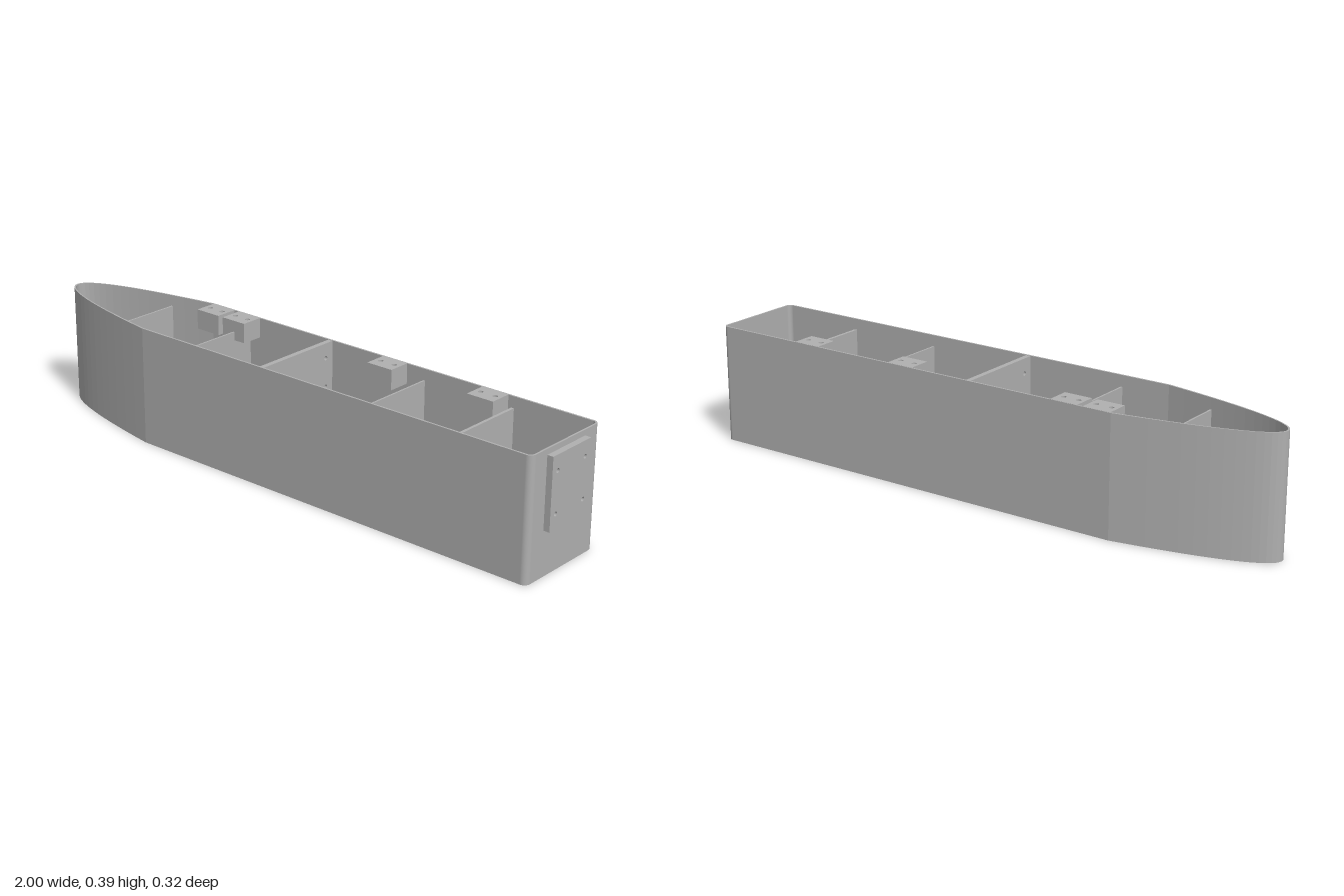
import * as THREE from 'three';

const HEIGHT = 0.39, HALF = 0.162, WALL = 0.006, STERN = 0.98, SHOULDER = -0.52;

// Plan outline of the hull: parabolic bow, straight sides, rounded stern corners
function trace(path, t) {
  const w = HALF - t, bow = -1 + t, end = STERN - t, r = 0.02 - t;
  path.moveTo(bow, 0);
  path.quadraticCurveTo(bow, -w / 2, SHOULDER, -w);
  path.lineTo(end - r, -w);
  path.absarc(end - r, -w + r, r, -Math.PI / 2, 0, false);
  path.lineTo(end, w - r);
  path.absarc(end - r, w - r, r, 0, Math.PI / 2, false);
  path.lineTo(SHOULDER, w);
  path.quadraticCurveTo(bow, w / 2, bow, 0);
  return path;
}

// Rectangle with round holes drilled through it
function drilled(x0, x1, y0, y1, holes, r) {
  const s = new THREE.Shape();
  s.moveTo(x0, y0);
  s.lineTo(x1, y0);
  s.lineTo(x1, y1);
  s.lineTo(x0, y1);
  s.closePath();
  for (const [x, y] of holes) s.holes.push(new THREE.Path().absarc(x, y, r, 0, Math.PI * 2, true));
  return s;
}

const extrude = (shape, depth) =>
  new THREE.ExtrudeGeometry(shape, { depth, bevelEnabled: false, curveSegments: 16 });
// Lay a plan shape flat and raise it from y, or stand a shape across the hull at x
const raise = (shape, y, depth) => extrude(shape, depth).rotateX(-Math.PI / 2).translate(0, y, 0);
const across = (shape, x, depth) => extrude(shape, depth).rotateY(Math.PI / 2).translate(x, 0, 0);

export function createModel() {
  const model = new THREE.Group();
  model.name = 'openHull';
  const grey = new THREE.MeshStandardMaterial({ color: 0xb0b0b0 });
  grey.name = 'plain grey';
  const add = (name, geometry) => {
    const mesh = new THREE.Mesh(geometry, grey);
    mesh.name = name;
    model.add(mesh);
  };

  // Thin side walls and floor
  const walls = trace(new THREE.Shape(), 0);
  walls.holes.push(trace(new THREE.Path(), WALL));
  add('hullWalls', raise(walls, 0, HEIGHT));
  add('hullFloor', raise(trace(new THREE.Shape(), WALL), 0, WALL));

  // Low bulkheads; the forward one fits the narrowing bow
  for (const [x, w, d] of [[-0.683, 0.127, 0.006], [-0.358, 0.158, 0.006], [0.357, 0.158, 0.006], [0.68, 0.158, 0.01]])
    add('bulkhead', across(drilled(-w, w, WALL, 0.353, [], 0), x, d));

  // Full-height double bulkhead amidships with bolt holes
  const bolts = [];
  for (const z of [-0.125, 0.125]) for (const y of [0.055, 0.15, 0.245, 0.34]) bolts.push([z, y]);
  add('middleBulkhead', across(drilled(-0.158, 0.158, WALL, HEIGHT - 0.001, bolts, 0.007), -0.02, 0.017));

  // Drilled mounting blocks along the back wall
  for (const x of [-0.47, -0.357, 0.247, 0.622]) {
    const block = drilled(x - 0.047, x + 0.047, 0.082, 0.161, [[x - 0.026, 0.12], [x + 0.026, 0.12]], 0.008);
    add('mountingBlock', raise(block, HEIGHT - 0.065, 0.0655));
  }

  // Drilled plate on the stern
  const holes = [];
  for (const z of [-0.065, 0.065]) for (const y of [0.193, 0.323]) holes.push([z, y]);
  add('sternPlate', across(drilled(-0.09, 0.09, 0.145, 0.372, holes, 0.007), STERN, 0.02));

  return model;
}
